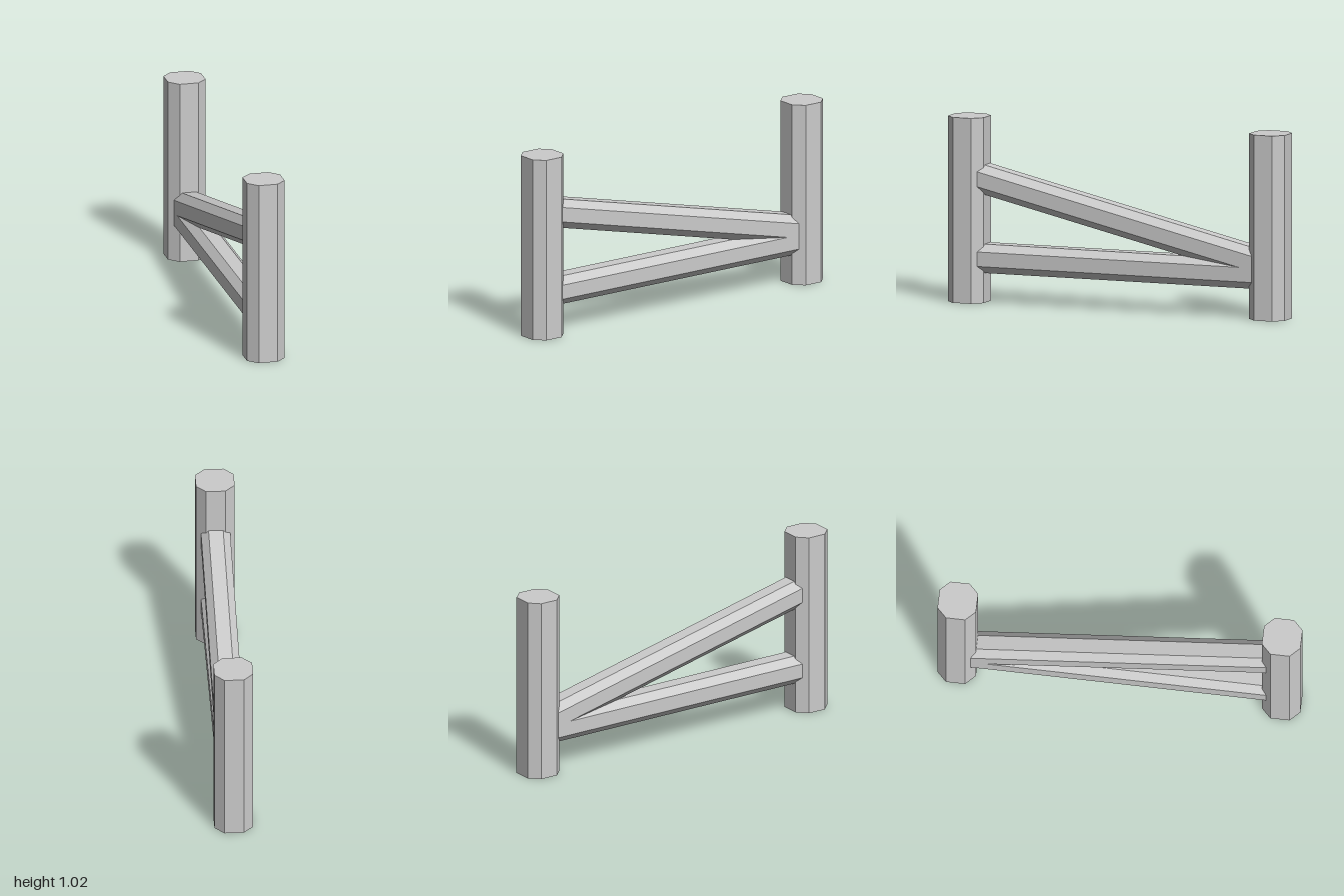
import * as THREE from 'three';

const material = new THREE.MeshStandardMaterial({ color: 0xcccccc, flatShading: true });

// Bar with a chamfered square section (half sizes w, h; flats half as wide), extruded along z
function octagonBar(name, w, h, length) {
  const shape = new THREE.Shape([
    [w, -h / 2], [w, h / 2], [w / 2, h], [-w / 2, h],
    [-w, h / 2], [-w, -h / 2], [-w / 2, -h], [w / 2, -h],
  ].map(([x, y]) => new THREE.Vector2(x, y)));
  const geometry = new THREE.ExtrudeGeometry(shape, { depth: length, bevelEnabled: false });
  geometry.translate(0, 0, -length / 2);
  const mesh = new THREE.Mesh(geometry, material);
  mesh.name = name;
  return mesh;
}

export function createModel() {
  const group = new THREE.Group();
  group.name = 'fenceSection';

  const postHeight = 1.025, postRadius = 0.106, postZ = 1 - postRadius;

  // Upright posts at both ends
  for (const [name, side] of [['frontPost', 1], ['backPost', -1]]) {
    const post = octagonBar(name, postRadius, postRadius, postHeight);
    post.rotation.x = -Math.PI / 2;
    post.position.set(0, postHeight / 2, side * postZ);
    group.add(post);
  }

  // Rails between the posts, from the front height to the back height
  const rails = [['lowerRail', 0.245, 0.245], ['slopingRail', 0.705, 0.29]];
  for (const [name, yFront, yBack] of rails) {
    const rise = yFront - yBack, run = 2 * postZ;
    const rail = octagonBar(name, 0.08, 0.08, Math.hypot(rise, run));
    rail.rotation.x = -Math.atan2(rise, run);
    rail.position.y = (yFront + yBack) / 2;
    group.add(rail);
  }

  return group;
}
